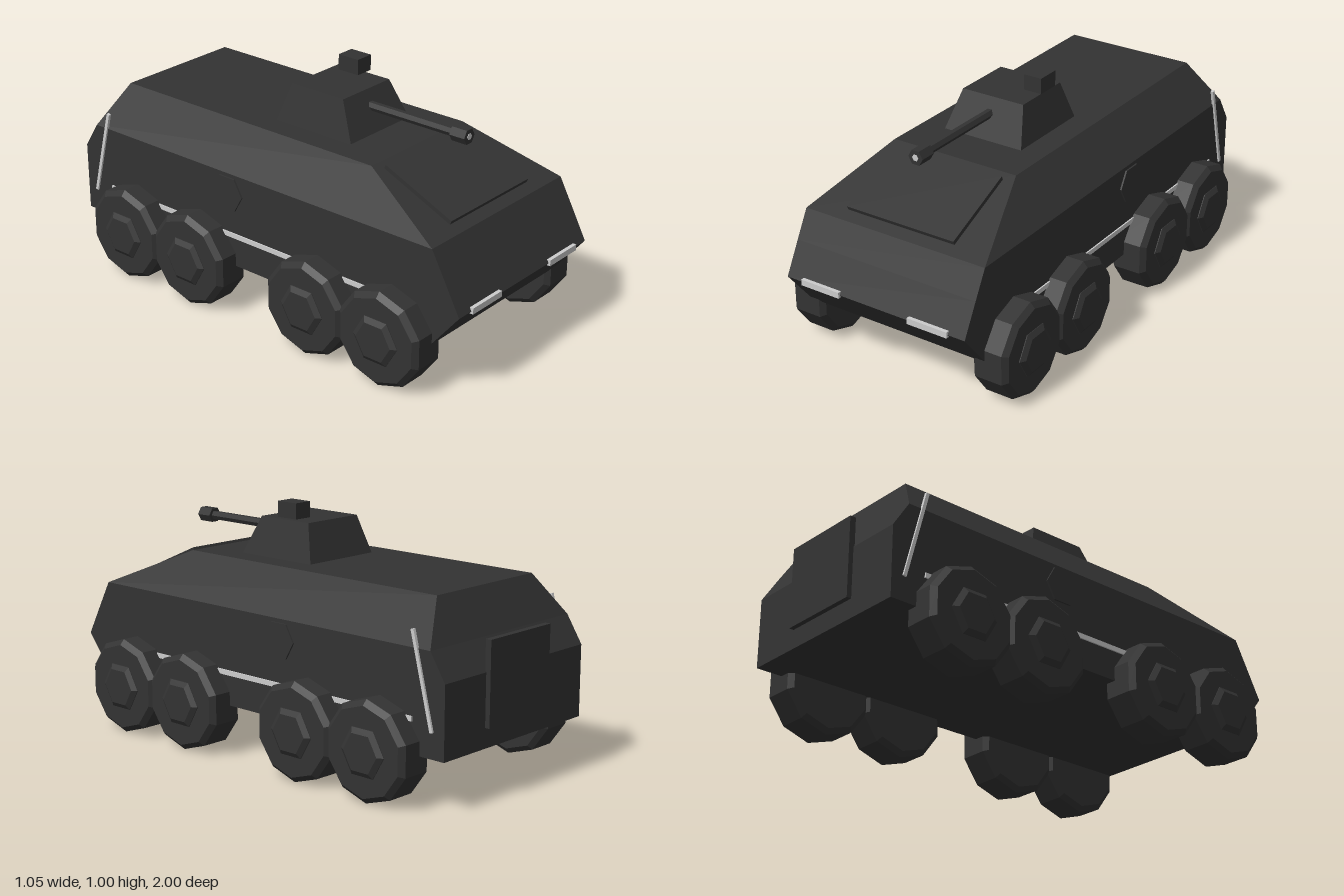
import * as THREE from 'three';

const mat = (name, color) => {
  const m = new THREE.MeshStandardMaterial({ color, flatShading: true });
  m.name = name;
  return m;
};

// Closed solid from rectangular levels: [y, halfWidth, frontZ, backZ], bottom to top
function loft(levels) {
  const rings = levels.map(([y, w, f, b]) => [[w, y, f], [w, y, b], [-w, y, b], [-w, y, f]]);
  const pos = [];
  const quad = (a, b, c, d) => pos.push(...a, ...b, ...c, ...a, ...c, ...d);
  for (let i = 0; i < rings.length - 1; i++) {
    for (let k = 0; k < 4; k++) {
      const n = (k + 1) % 4;
      quad(rings[i][k], rings[i][n], rings[i + 1][n], rings[i + 1][k]);
    }
  }
  const top = rings[rings.length - 1], low = rings[0];
  quad(top[0], top[1], top[2], top[3]);
  quad(low[3], low[2], low[1], low[0]);
  const g = new THREE.BufferGeometry();
  g.setAttribute('position', new THREE.Float32BufferAttribute(pos, 3));
  g.computeVertexNormals();
  return g;
}

// Turned solid from [radius, height] points
const lathe = (pts, sides, start = 0) =>
  new THREE.LatheGeometry(pts.map(p => new THREE.Vector2(p[0], p[1])), sides, start);

export function createModel() {
  const model = new THREE.Group();
  model.name = 'armouredCarrier';
  const dark = mat('darkArmour', 0x333333);
  const light = mat('lightMetal', 0xcccccc);

  const add = (name, geo, material, x = 0, y = 0, z = 0, parent = model) => {
    const m = new THREE.Mesh(geo, material);
    m.name = name;
    m.position.set(x, y, z);
    parent.add(m);
    return m;
  };
  const box = (w, h, d) => new THREE.BoxGeometry(w, h, d);

  // Hull with wedge nose, sloped shoulders and stepped rear
  add('hull', loft([
    [0.21, 0.415, 0.86, -0.98],
    [0.37, 0.415, 0.99, -0.98],
    [0.50, 0.415, 0.92, -0.98],
    [0.61, 0.415, 0.86, -0.91],
    [0.78, 0.285, 0.47, -0.83],
  ]), dark);
  add('glacisPlate', box(0.494, 0.02, 0.34), dark, 0, 0.705, 0.66).rotation.x = 0.411;
  add('rearDoor', box(0.36, 0.335, 0.025), dark, 0, 0.457, -0.9875);

  // Turret, sight and gun
  add('turret', loft([[0.775, 0.182, 0.285, -0.10], [0.935, 0.142, 0.21, -0.05]]), dark);
  add('sight', box(0.08, 0.065, 0.1), dark, 0.115, 0.977, 0.055);
  const rod = (r, len) => new THREE.CylinderGeometry(r, r, len, 6, 1, false, Math.PI / 2).rotateX(Math.PI / 2);
  add('gunBarrel', rod(0.019, 0.46), dark, 0, 0.873, 0.45);
  add('muzzle', rod(0.033, 0.07), dark, 0, 0.873, 0.675);
  add('muzzleBore', rod(0.014, 0.006), light, 0, 0.873, 0.709);

  // Shared wheel parts, axle along +x with the hub outward
  const tyre = lathe([[0, -0.078], [0.178, -0.078], [0.2, -0.06], [0.2, 0.058], [0.178, 0.078], [0, 0.078]],
    10, Math.PI / 2).rotateZ(-Math.PI / 2);
  const hub = lathe([[0.105, 0.07], [0.105, 0.081], [0.082, 0.095], [0, 0.095]], 6).rotateZ(-Math.PI / 2);
  const hatch = new THREE.CylinderGeometry(0.08, 0.08, 0.014, 6).rotateZ(-Math.PI / 2);

  for (const s of [1, -1]) {
    const side = s > 0 ? 'left' : 'right';
    [0.68, 0.315, -0.31, -0.675].forEach((z, i) => {
      const wheel = new THREE.Group();
      wheel.name = `${side}Wheel${i + 1}`;
      wheel.position.set(s * 0.432, 0.205, z);
      if (s < 0) wheel.rotation.y = Math.PI;
      add('tyre', tyre, dark, 0, 0, 0, wheel);
      add('hub', hub, dark, 0, 0, 0, wheel);
      model.add(wheel);
    });
    add(`${side}Headlight`, box(0.18, 0.025, 0.02), light, s * 0.25, 0.372, 0.988);
    add(`${side}SideHatch`, hatch, dark, s * 0.415, 0.525, -0.155);
    add(`${side}SideRail`, box(0.012, 0.02, 1.43), light, s * 0.415, 0.345, -0.115);
    // Slanted rod beside the rear corner
    add(`${side}RearRod`, box(0.012, 0.382, 0.014), light, s * 0.417, 0.495, -0.877).rotation.x = 0.25;
  }
  return model;
}
